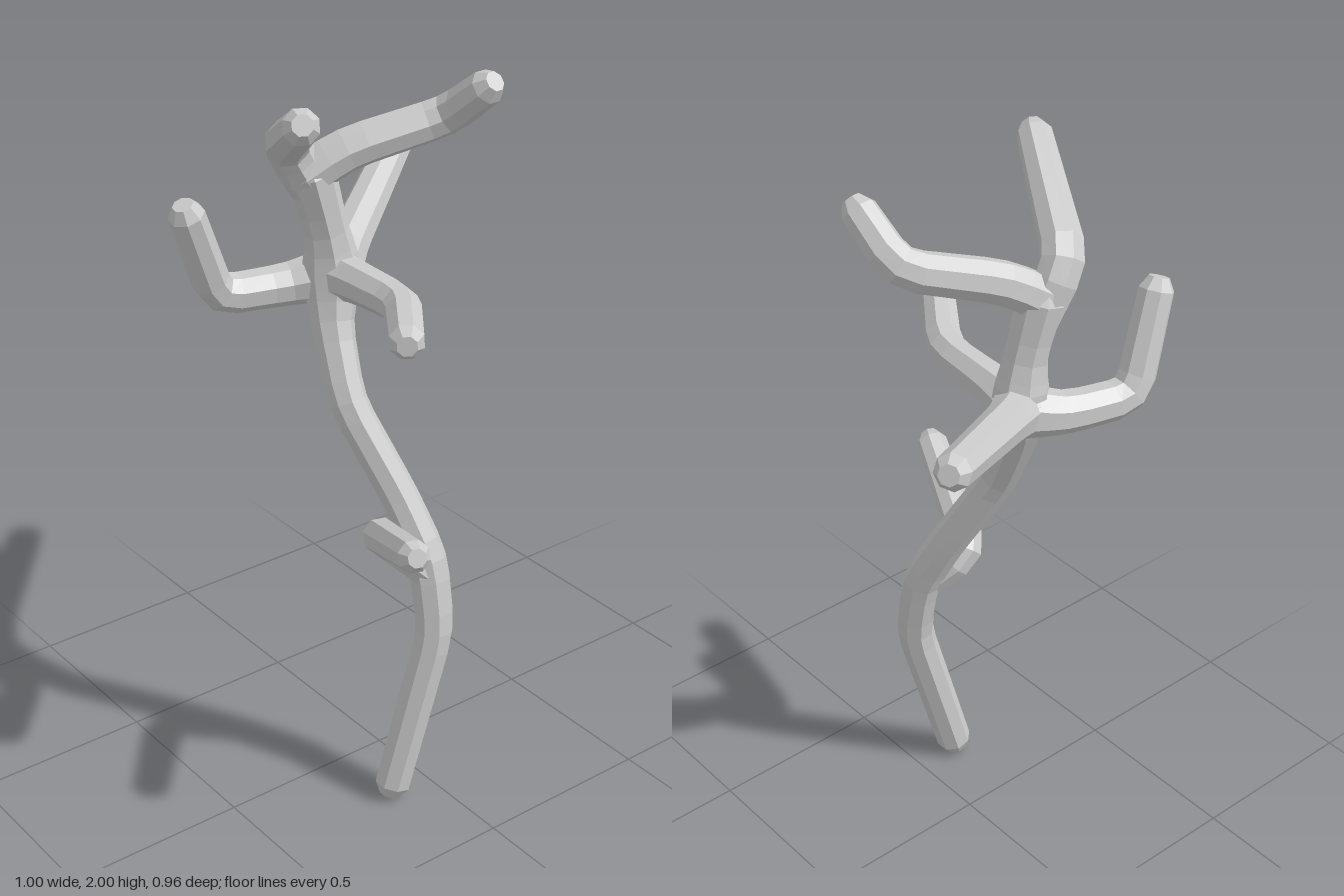
import * as THREE from 'three';

const SIDES = 8;

// Points are [x, y, z, radius]; every inner corner becomes three softened rings.
function softenCorners(points) {
  const v = points.map((p) => new THREE.Vector4(...p));
  const out = [v[0]];
  for (let i = 1; i < v.length - 1; i++) {
    const [a, b, c] = [v[i - 1], v[i], v[i + 1]];
    const cut = (q) => {
      const d = Math.hypot(q.x - b.x, q.y - b.y, q.z - b.z);
      return b.clone().lerp(q, Math.min(0.4, 0.055 / d));
    };
    const p = cut(a), q = cut(c);
    const mid = p.clone().lerp(q, 0.5).lerp(b, 0.5);
    out.push(p, mid, q);
  }
  out.push(v[v.length - 1]);
  return out;
}

// Eight-sided limb with faceted, rounded ends.
function limb(name, points, material) {
  const path = softenCorners(points);
  const pos = path.map((p) => new THREE.Vector3(p.x, p.y, p.z));
  const n = pos.length;
  const tangents = pos.map((_, i) => {
    const t = new THREE.Vector3();
    if (i > 0) t.add(pos[i].clone().sub(pos[i - 1]).normalize());
    if (i < n - 1) t.add(pos[i + 1].clone().sub(pos[i]).normalize());
    return t.normalize();
  });
  const rings = path.map((p, i) => ({ c: pos[i], t: tangents[i], r: p.w }));
  const cap = (end, sign) => ({
    c: end.c.clone().addScaledVector(end.t, sign * end.r * 0.7), t: end.t, r: end.r * 0.58,
  });
  rings.unshift(cap(rings[0], -1));
  rings.push(cap(rings[rings.length - 1], 1));

  // Carry one side vector along the limb so that it does not twist.
  const start = rings[0].t;
  const side = new THREE.Vector3(1, 0, 0);
  if (Math.abs(start.x) > 0.8) side.set(0, 0, 1);
  const verts = [], index = [];
  rings.forEach(({ c, t, r }, i) => {
    if (i > 0) {
      side.applyQuaternion(new THREE.Quaternion().setFromUnitVectors(rings[i - 1].t, t));
    }
    side.addScaledVector(t, -side.dot(t)).normalize();
    const up = new THREE.Vector3().crossVectors(t, side);
    for (let k = 0; k < SIDES; k++) {
      const a = ((k + 0.5) / SIDES) * Math.PI * 2;
      const v = c.clone().addScaledVector(side, Math.cos(a) * r).addScaledVector(up, Math.sin(a) * r);
      verts.push(v.x, v.y, v.z);
      if (i > 0) {
        const b = (i - 1) * SIDES, k2 = (k + 1) % SIDES;
        index.push(b + k, b + k2, b + SIDES + k, b + k2, b + SIDES + k2, b + SIDES + k);
      }
    }
  });
  const last = (rings.length - 1) * SIDES;
  for (let k = 1; k < SIDES - 1; k++) {
    index.push(0, k + 1, k, last, last + k, last + k + 1);
  }
  const geometry = new THREE.BufferGeometry();
  geometry.setAttribute('position', new THREE.Float32BufferAttribute(verts, 3));
  geometry.setIndex(index);
  geometry.computeVertexNormals();
  const mesh = new THREE.Mesh(geometry, material);
  mesh.name = name;
  return mesh;
}

export function createModel() {
  const group = new THREE.Group();
  group.name = 'branchingStem';
  const material = new THREE.MeshStandardMaterial({ color: 0xcccccc, flatShading: true });

  const limbs = {
    // Main stem, from the foot to the upper fork
    trunk: [
      [0.218, 0.036, 0.122, 0.05], [0.247, 0.5, 0.002, 0.052], [0.21, 0.7, 0.0, 0.054],
      [0.13, 0.86, 0.03, 0.05], [0.0, 1.11, 0.105, 0.05], [-0.09, 1.3, 0.085, 0.055],
      [-0.125, 1.42, 0.055, 0.082], [-0.12, 1.54, 0.075, 0.056], [-0.13, 1.7, 0.115, 0.064],
    ],
    // Low branch: leaves the stem forward, then turns left
    lowBranch: [
      [0.215, 0.67, 0.01, 0.045], [0.135, 0.785, 0.115, 0.05], [0.464, 0.92, 0.252, 0.043],
    ],
    // Branches at the middle joint
    leftBranch: [
      [-0.14, 1.41, 0.05, 0.075], [-0.04, 1.425, 0.055, 0.056],
      [0.18, 1.435, 0.065, 0.049], [0.39, 1.457, 0.22, 0.045],
    ],
    backBranch: [
      [-0.12, 1.4, 0.06, 0.075], [-0.19, 1.44, -0.035, 0.058], [-0.464, 1.612, -0.444, 0.046],
    ],
    frontBranch: [
      [-0.13, 1.41, 0.04, 0.075], [-0.19, 1.385, 0.14, 0.055],
      [-0.242, 1.385, 0.335, 0.052], [-0.207, 1.64, 0.435, 0.047],
    ],
    // Two arms of the upper fork
    topFrontArm: [
      [-0.13, 1.64, 0.1, 0.056], [-0.145, 1.785, 0.18, 0.058], [0.17, 1.952, 0.355, 0.046],
    ],
    topBackArm: [
      [-0.135, 1.69, 0.13, 0.06], [-0.09, 1.755, 0.035, 0.056],
      [0.025, 1.825, -0.2, 0.052], [0.158, 1.93, -0.21, 0.046],
    ],
  };
  for (const [name, points] of Object.entries(limbs)) group.add(limb(name, points, material));

  return group;
}
